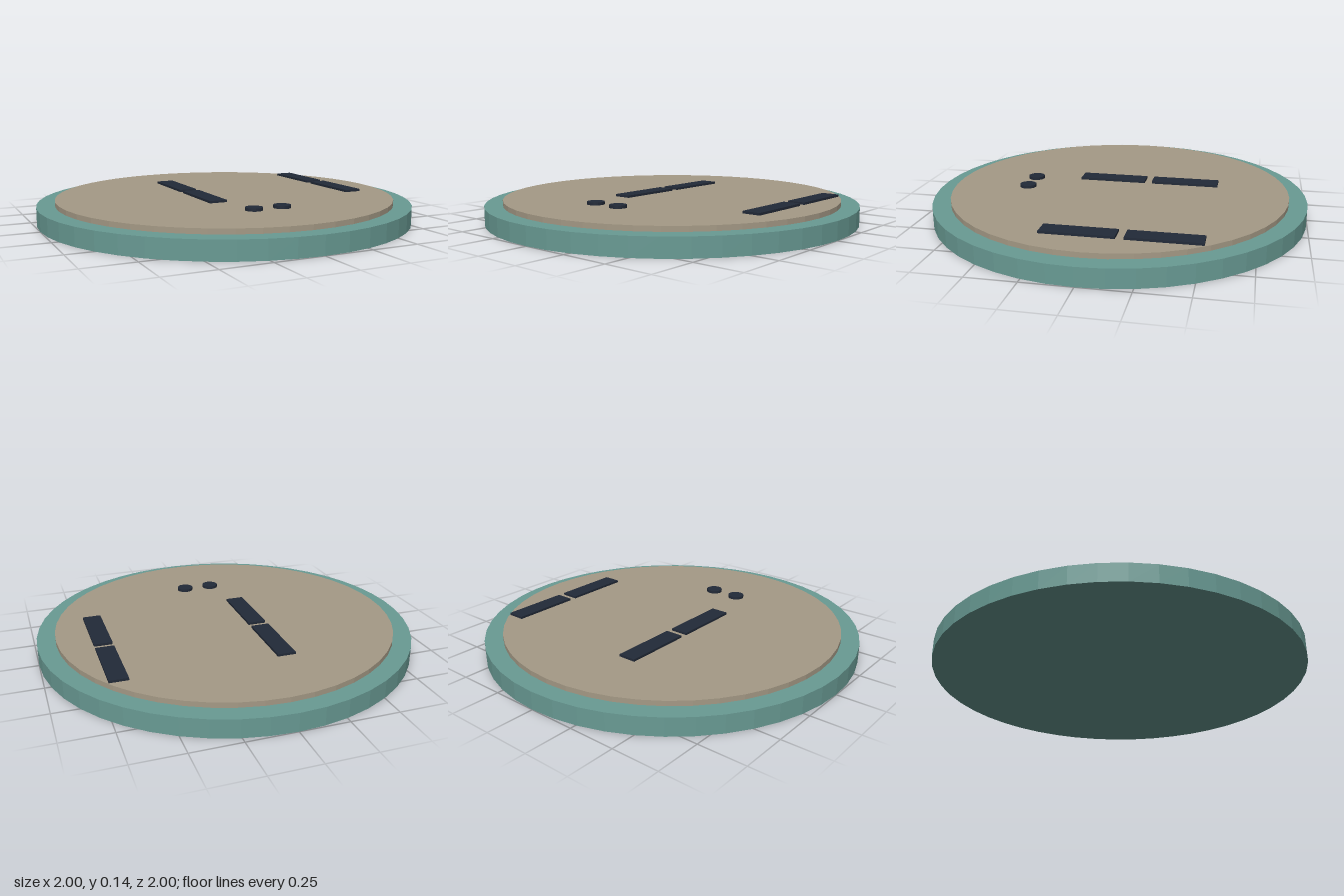
import * as THREE from 'three';

export function createModel() {
  const model = new THREE.Group();
  model.name = 'roundBoard';

  const material = (color) => new THREE.MeshStandardMaterial({ color, flatShading: true });
  const teal = material(0x699b94);
  const tan = material(0xa59a86);
  const navy = material(0x222a38);

  function add(name, geometry, mat, x, y, z) {
    const mesh = new THREE.Mesh(geometry, mat);
    mesh.name = name;
    mesh.position.set(x, y, z);
    model.add(mesh);
  }

  // A disc resting between two heights
  function disc(name, radius, bottom, top, sides, mat, x = 0, z = 0) {
    const geometry = new THREE.CylinderGeometry(radius, radius, top - bottom, sides);
    add(name, geometry, mat, x, (bottom + top) / 2, z);
  }

  // Base and raised top plate
  disc('base', 1, 0, 0.094, 48, teal);
  disc('topPlate', 0.905, 0.094, 0.12, 48, tan);

  // Two rows of flat bars
  const barGeometry = new THREE.BoxGeometry(0.095, 0.015, 0.362);
  for (const [row, x] of [['right', -0.146], ['left', 0.684]]) {
    for (const [place, z] of [['Back', -0.342], ['Front', 0.06]]) {
      add(`${row}${place}Bar`, barGeometry, navy, x, 0.1245, z);
    }
  }

  // Pair of small round buttons
  for (const side of [-1, 1]) {
    disc(side < 0 ? 'rightButton' : 'leftButton', 0.044, 0.115, 0.135, 24, navy, side * 0.078, 0.498);
  }

  return model;
}
